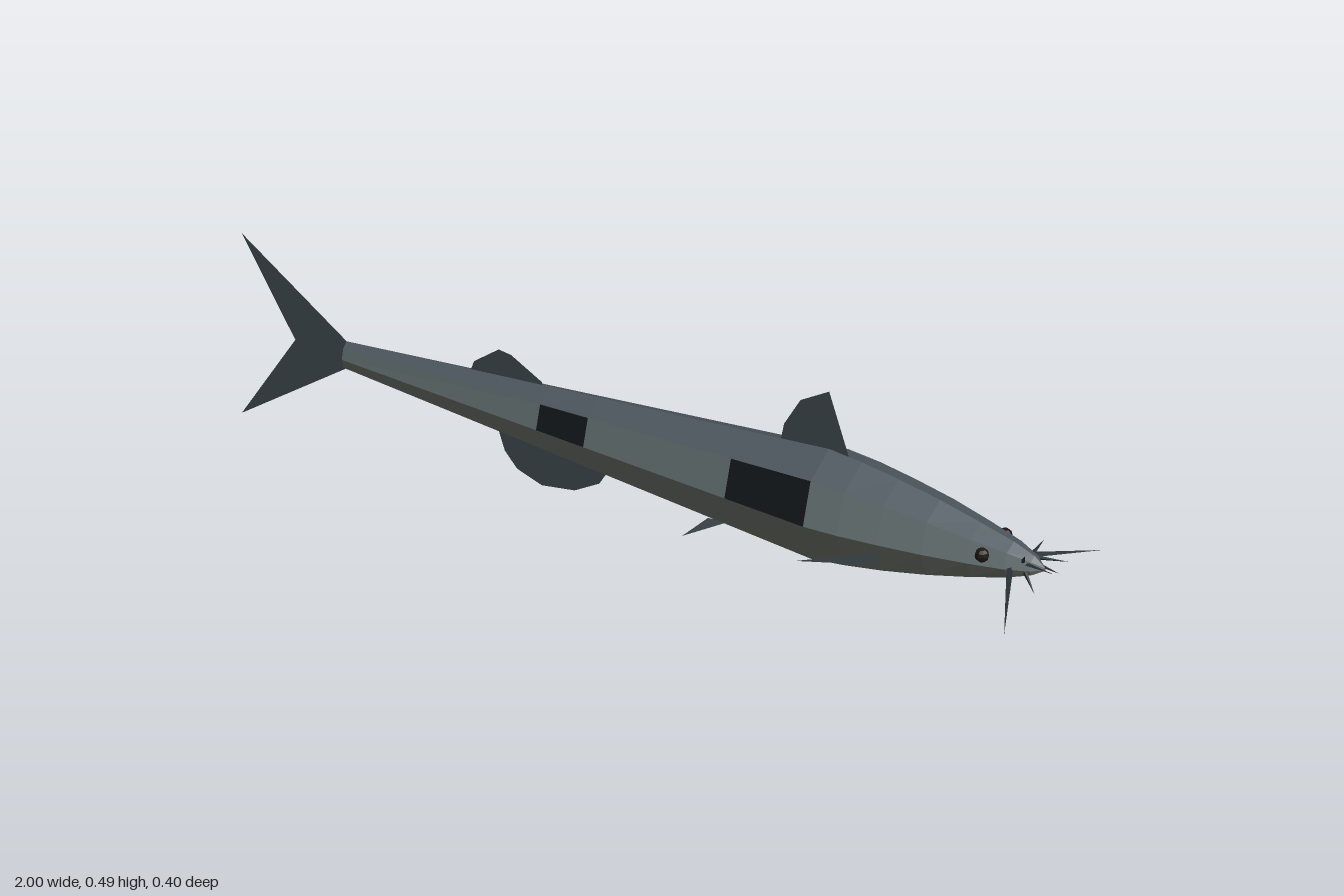
import * as THREE from 'three';

// Body stations: x, top y, bottom y, half width
const STATIONS = [
  [-0.745, 0.258, 0.192, 0.02], [0.43, 0.357, 0.09, 0.108], [0.51, 0.349, 0.1, 0.104],
  [0.6, 0.335, 0.115, 0.094], [0.7, 0.316, 0.137, 0.08], [0.8, 0.291, 0.163, 0.061],
  [0.88, 0.27, 0.187, 0.042], [0.93, 0.25, 0.205, 0.022], [0.955, 0.229, 0.221, 0.002],
];
const SIDE_Y = 0.223;
const material = (color, side = THREE.FrontSide) =>
  new THREE.MeshStandardMaterial({ color, side, flatShading: true });

function section(x) {
  let i = 0;
  while (i < STATIONS.length - 2 && x > STATIONS[i + 1][0]) i++;
  const a = STATIONS[i], b = STATIONS[i + 1], t = (x - a[0]) / (b[0] - a[0]);
  return a.map((v, k) => v + (b[k] - v) * t);
}

// Octagon corner k: 0 is +z, 2 is the top, 4 is -z, 6 is the belly
function corner(x, k) {
  const [, top, bottom, half] = section(x), a = (k * Math.PI) / 4, s = Math.sin(a);
  return [x, SIDE_Y + s * (s > 0 ? top - SIDE_Y : SIDE_Y - bottom), half * Math.cos(a)];
}

function surface(name, triangles, mat) {
  const g = new THREE.BufferGeometry();
  g.setAttribute('position', new THREE.Float32BufferAttribute(triangles.flat(2), 3));
  g.computeVertexNormals();
  const mesh = new THREE.Mesh(g, mat);
  mesh.name = name;
  return mesh;
}

function flatFin(name, points, mat) {
  const shape = new THREE.Shape(points.map(([x, y]) => new THREE.Vector2(x, y)));
  const mesh = new THREE.Mesh(new THREE.ShapeGeometry(shape), mat);
  mesh.name = name;
  return mesh;
}

function spike(name, from, to, radius, mat) {
  const a = new THREE.Vector3(...from), b = new THREE.Vector3(...to), d = b.clone().sub(a);
  const mesh = new THREE.Mesh(new THREE.ConeGeometry(radius, d.length(), 4), mat);
  mesh.name = name;
  mesh.position.copy(a).add(b).multiplyScalar(0.5);
  mesh.quaternion.setFromUnitVectors(new THREE.Vector3(0, 1, 0), d.normalize());
  return mesh;
}

export function createModel() {
  const fish = new THREE.Group();
  fish.name = 'fish';
  const fin = material(0x434d52, THREE.DoubleSide);

  // Eight-sided body, sorted into coloured bands
  const bands = { back: [], flank: [], lowerFlank: [], belly: [], patches: [] };
  const stripBand = ['flank', 'back', 'back', 'flank', 'lowerFlank', 'belly', 'belly', 'lowerFlank'];
  const patches = [[0, -0.25, -0.13], [0, 0.23, 0.43], [3, 0.11, 0.23], [3, 0.43, 0.51]];
  const xs = [...STATIONS.map((s) => s[0]), -0.25, -0.13, 0.11, 0.23].sort((a, b) => a - b);
  for (let i = 0; i < xs.length - 1; i++) {
    const x0 = xs[i], x1 = xs[i + 1], mid = (x0 + x1) / 2;
    for (let k = 0; k < 8; k++) {
      const dark = patches.some(([s, from, to]) => s === k && mid > from && mid < to);
      const a = corner(x0, k), b = corner(x1, k), c = corner(x1, k + 1), d = corner(x0, k + 1);
      bands[dark ? 'patches' : stripBand[k]].push([a, b, c], [a, c, d]);
    }
  }
  // Closed tail and nose ends
  for (let k = 0; k < 8; k++) {
    const t = xs[0], n = xs[xs.length - 1];
    bands.back.push([[t, SIDE_Y, 0], corner(t, k), corner(t, k + 1)]);
    bands.back.push([[n, 0.225, 0], corner(n, k + 1), corner(n, k)]);
  }
  const colors = { back: 0x4d585f, flank: 0x667272, lowerFlank: 0x72776f, belly: 0x67635b, patches: 0x15191b };
  for (const name in bands) fish.add(surface(name, bands[name], material(colors[name])));

  // Fins on the centre plane
  fish.add(flatFin('tailFin', [[-0.745, 0.258], [-1, 0.443], [-0.87, 0.223], [-1, 0.005], [-0.745, 0.192]], fin));
  fish.add(flatFin('dorsalFin', [[0.31, 0.335], [0.32, 0.385], [0.36, 0.455], [0.43, 0.497], [0.48, 0.345]], fin));
  fish.add(flatFin('rearDorsalFin',
    [[-0.445, 0.275], [-0.435, 0.305], [-0.375, 0.352], [-0.345, 0.348], [-0.27, 0.305], [-0.27, 0.285]], fin));
  fish.add(flatFin('analFin', [[-0.38, 0.17], [-0.36, 0.11], [-0.33, 0.075], [-0.27, 0.053],
    [-0.19, 0.065], [-0.13, 0.1], [-0.1, 0.15]], fin));

  // Paired fins, eyes and barbels
  const eyeMat = material(0x1c1712), barbelMat = material(0x2c3438);
  for (const s of [1, -1]) {
    const side = s > 0 ? 'left' : 'right';
    // The sided pectoral fins face outward
    const pectoral = [[0.6, 0.205, 0.095 * s], [0.44, 0.167, 0.155 * s], [0.6, 0.17, 0.085 * s]];
    fish.add(surface(side + 'PectoralFin', [s > 0 ? pectoral : pectoral.reverse()], material(0x4c585e)));
    fish.add(surface(side + 'PelvicFin',
      [[[0.2, 0.12, 0.022 * s], [0.1, 0.068, 0.048 * s], [0.15, 0.116, 0.026 * s]]], fin));

    const eye = new THREE.Mesh(new THREE.SphereGeometry(0.016, 8, 6), eyeMat);
    eye.name = side + 'Eye';
    eye.position.set(0.83, 0.246, 0.047 * s);
    fish.add(eye);

    const barbels = [
      [[0.885, 0.225, 0.025], [0.975, 0.175, 0.2], 0.008],
      [[0.91, 0.235, 0.015], [0.995, 0.24, 0.03], 0.006],
      [[0.91, 0.225, 0.015], [0.96, 0.19, 0.05], 0.006],
      [[0.91, 0.235, 0.015], [0.93, 0.27, 0.04], 0.006],
    ];
    for (const [from, to, r] of barbels) {
      fish.add(spike(side + 'Barbel', [from[0], from[1], from[2] * s], [to[0], to[1], to[2] * s], r, barbelMat));
    }
  }
  return fish;
}
